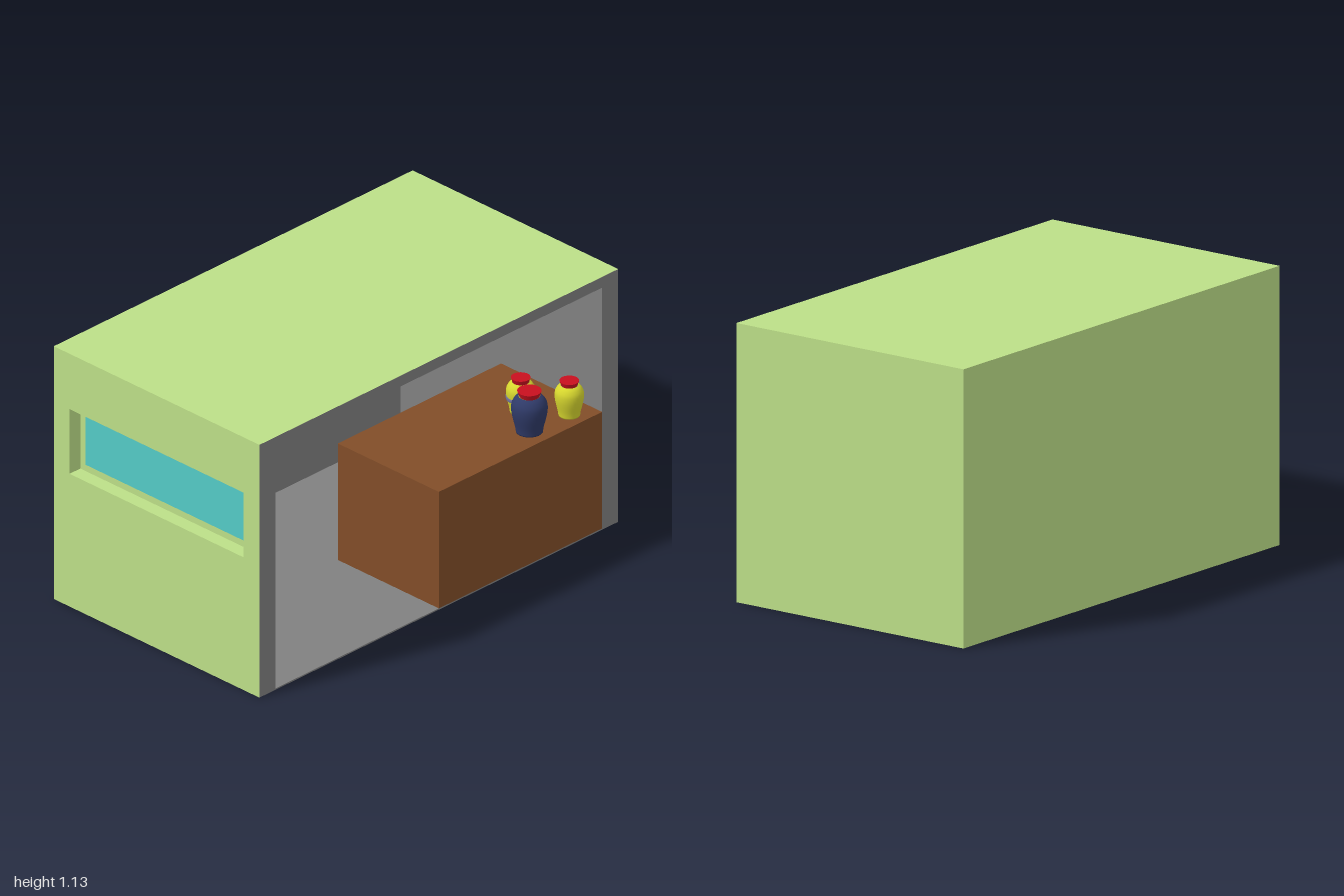
import * as THREE from 'three';

const mat = (color) => new THREE.MeshStandardMaterial({ color });
const green = mat(0xbcde87), grey = mat(0x808080), brown = mat(0x814d28), glass = mat(0x53cac6);
const navy = mat(0x2f3a68), yellow = mat(0xd6d62e), red = mat(0xc8101e), violet = mat(0x74749c);

const H = 1.133, D = 0.567;           // height, half depth
const IX = 0.91, IY = 1.085, IZ = -0.545, FLOOR = 0.006; // inside faces

export function createModel() {
  const model = new THREE.Group();

  // Box between two corners; faces listed in `greyFaces` are grey, the rest use `base`.
  // Face order: 0 +x, 1 -x, 2 +y, 3 -y, 4 +z, 5 -z
  function box(name, [x0, x1], [y0, y1], [z0, z1], base, greyFaces = [], parent = model) {
    const materials = [0, 1, 2, 3, 4, 5].map((i) => (greyFaces.includes(i) ? grey : base));
    const mesh = new THREE.Mesh(
      new THREE.BoxGeometry(x1 - x0, y1 - y0, z1 - z0),
      greyFaces.length ? materials : base
    );
    mesh.position.set((x0 + x1) / 2, (y0 + y1) / 2, (z0 + z1) / 2);
    mesh.name = name;
    parent.add(mesh);
    return mesh;
  }

  // Shell: green outside, grey inside, open at the front
  box('roof', [-1, 1], [IY, H], [-D, D], green, [3, 4]);
  box('backWall', [-IX, IX], [0, IY], [-D, IZ], green, [3, 4]);
  box('floor', [-IX, IX], [0, FLOOR], [IZ, D], grey);
  box('closedSideWall', [IX, 1], [0, IY], [-D, D], green, [1, 3, 4]);

  // Window wall: a solid inner layer with four outer pieces around a recess
  const wall = new THREE.Group();
  wall.name = 'windowWall';
  model.add(wall);
  const zw = 0.48, yLow = 0.595, yHigh = 0.885, xr = -0.94;
  box('innerLayer', [xr, -IX], [0, IY], [-D, D], green, [0, 3, 4], wall);
  box('wallBelowWindow', [-1, xr], [0, yLow], [-zw, zw], green, [3], wall);
  box('wallAboveWindow', [-1, xr], [yHigh, IY], [-zw, zw], green, [], wall);
  box('wallBehindWindow', [-1, xr], [0, IY], [-D, -zw], green, [3], wall);
  box('wallBeforeWindow', [-1, xr], [0, IY], [zw, D], green, [3, 4], wall);
  box('windowPane', [xr - 0.002, xr + 0.01], [yLow + 0.03, yHigh - 0.03], [-zw + 0.03, zw - 0.03], glass, [], wall);

  // Counter
  const top = 0.528;
  box('counter', [0, IX], [FLOOR, top], [0.01, D], brown);

  // Jars turned from a profile
  const lathe = (name, points, material, parent) => {
    const mesh = new THREE.Mesh(
      new THREE.LatheGeometry(points.map(([r, y]) => new THREE.Vector2(r, y)), 32), material);
    mesh.name = name;
    parent.add(mesh);
  };

  function jar(name, x, z, r, h, material, banded) {
    const group = new THREE.Group();
    group.name = name;
    group.position.set(x, top, z);
    const curve = new THREE.SplineCurve([
      [0.74, 0], [0.8, 0.15], [0.94, 0.38], [1, 0.55], [0.97, 0.7], [0.8, 0.82], [0.6, 0.88],
    ].map(([a, b]) => new THREE.Vector2(a * r, b * h)));
    lathe('jarBody', [[0, 0], ...curve.getPoints(20).map((p) => [p.x, p.y])], material, group);
    // flared lid on a narrow neck
    const lid = new THREE.Mesh(new THREE.CylinderGeometry(0.67 * r, 0.55 * r, 0.13 * h, 32), red);
    lid.position.y = 0.935 * h;
    lid.name = 'jarLid';
    group.add(lid);
    if (banded) {
      lathe('jarBand', [[0.95 * r, 0.38 * h], [1.015 * r, 0.39 * h], [1.025 * r, 0.48 * h], [0.97 * r, 0.49 * h]], violet, group);
    }
    model.add(group);
  }
  jar('largeJar', 0.6, 0.473, 0.072, 0.182, navy, false);
  jar('frontSmallJar', 0.805, 0.49, 0.058, 0.153, yellow, false);
  jar('bandedSmallJar', 0.69, 0.336, 0.058, 0.153, yellow, true);

  return model;
}
